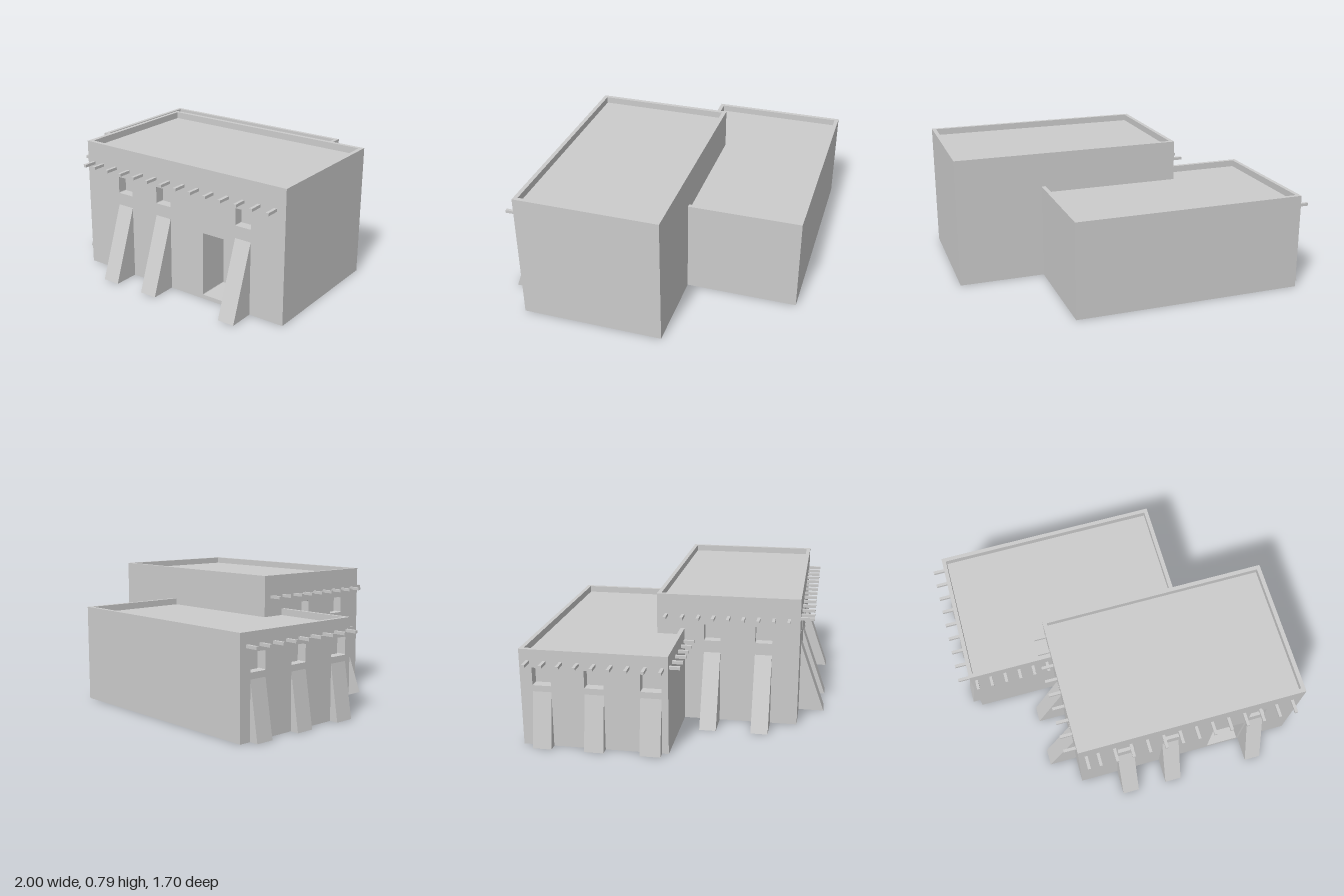
import * as THREE from 'three';

const material = new THREE.MeshStandardMaterial({ color: 0xcccccc, flatShading: true, side: THREE.DoubleSide });
const PARAPET_DEPTH = 0.04, PARAPET_WIDTH = 0.025;

function add(parent, name, geometry, x = 0, y = 0, z = 0) {
  const mesh = new THREE.Mesh(geometry, material);
  mesh.name = name;
  mesh.position.set(x, y, z);
  parent.add(mesh);
}

function rect(Type, u0, u1, v0, v1) {
  return new Type([[u0, v0], [u1, v0], [u1, v1], [u0, v1]].map(([u, v]) => new THREE.Vector2(u, v)));
}

// Opening outline with slightly softened corners
function openingPath({ u0, u1, v0, v1 }, r = 0.005) {
  const p = new THREE.Path();
  p.moveTo(u0 + r, v0);
  p.lineTo(u1 - r, v0).quadraticCurveTo(u1, v0, u1, v0 + r);
  p.lineTo(u1, v1 - r).quadraticCurveTo(u1, v1, u1 - r, v1);
  p.lineTo(u0 + r, v1).quadraticCurveTo(u0, v1, u0, v1 - r);
  p.lineTo(u0, v0 + r).quadraticCurveTo(u0, v0, u0 + r, v0);
  return p;
}

// Wall facing local +z, with recessed openings, roof beams and buttresses
function buildWall(name, u0, u1, height, details = {}) {
  const { openings = [], beams = [], beamY = 0, beamLength = 0.075, buttresses = [], buttress } = details;
  const wall = new THREE.Group();
  wall.name = name;

  const face = rect(THREE.Shape, u0, u1, 0, height);
  face.holes = openings.map(o => openingPath(o));
  add(wall, 'wallFace', new THREE.ShapeGeometry(face, 3));

  for (const o of openings) {
    const w = o.u1 - o.u0, h = o.v1 - o.v0;
    const frame = rect(THREE.Shape, o.u0 - 0.01, o.u1 + 0.01, o.v0 - 0.01, o.v1 + 0.01);
    frame.holes = [openingPath(o)];
    add(wall, o.name + 'Reveal',
      new THREE.ExtrudeGeometry(frame, { depth: o.depth - 0.001, bevelEnabled: false, curveSegments: 3 }), 0, 0, -o.depth);
    add(wall, o.name + 'Back', new THREE.PlaneGeometry(w + 0.02, h + 0.02),
      (o.u0 + o.u1) / 2, (o.v0 + o.v1) / 2, -o.depth);
  }

  for (const u of beams) {
    add(wall, 'roofBeam', new THREE.BoxGeometry(0.018, 0.017, beamLength + 0.02), u, beamY, beamLength / 2 - 0.01);
  }

  for (const [b0, b1] of buttresses) {
    // Triangular profile (out, up) swept along the wall
    const profile = new THREE.Shape();
    profile.moveTo(0, 0).lineTo(buttress.out, 0).lineTo(0, buttress.height);
    const geometry = new THREE.ExtrudeGeometry(profile, { depth: b1 - b0, bevelEnabled: false });
    geometry.rotateY(-Math.PI / 2);
    add(wall, 'buttress', geometry, b1, 0, 0);
  }
  return wall;
}

// Flat-roofed block: four walls, sunken roof, parapet and base
function buildBlock(name, { x0, x1, z0, z1, height }, front, side) {
  const block = new THREE.Group();
  block.name = name;
  const h = height - PARAPET_DEPTH, t = PARAPET_WIDTH;
  const walls = [
    [buildWall('frontWall', x0, x1, h, front), 0, z1, 0],
    [buildWall('rightWall', z0, z1, h, side), x0, 0, -Math.PI / 2],
    [buildWall('backWall', -x1, -x0, h), 0, z0, Math.PI],
    [buildWall('leftWall', -z1, -z0, h), x1, 0, Math.PI / 2],
  ];
  for (const [wall, x, z, angle] of walls) {
    wall.position.set(x, 0, z);
    wall.rotation.y = angle;
    block.add(wall);
  }

  const ring = rect(THREE.Shape, x0, x1, -z1, -z0);
  ring.holes = [rect(THREE.Path, x0 + t, x1 - t, -z1 + t, -z0 - t)];
  const parapet = new THREE.ExtrudeGeometry(ring, { depth: PARAPET_DEPTH, bevelEnabled: false });
  add(block, 'parapet', parapet.rotateX(-Math.PI / 2), 0, h, 0);

  const cx = (x0 + x1) / 2, cz = (z0 + z1) / 2;
  const slab = () => new THREE.PlaneGeometry(x1 - x0, z1 - z0);
  add(block, 'roof', slab().rotateX(-Math.PI / 2), cx, h, cz);
  add(block, 'base', slab().rotateX(Math.PI / 2), cx, 0, cz);
  return block;
}

const spread = (first, last, count) =>
  Array.from({ length: count }, (_, i) => first + (last - first) * i / (count - 1));
const windows = (spans, v0, v1) =>
  spans.map(([u0, u1]) => ({ name: 'window', u0, u1, v0, v1, depth: 0.06 }));

export function createModel() {
  const model = new THREE.Group();
  model.name = 'adobeHouse';

  // Tall front block
  const frontBays = [[-0.16, -0.055], [0.128, 0.233], [0.682, 0.784]];
  const sideBays = [[0.12, 0.22], [0.428, 0.53]];
  const door = { name: 'door', u0: 0.463, u1: 0.67, v0: 0.024, v1: 0.407, depth: 0.2 };
  const tallButtress = { out: 0.156, height: 0.435 };
  model.add(buildBlock('tallBlock', { x0: -0.401, x1: 0.998, z0: -0.165, z1: 0.692, height: 0.788 }, {
    openings: [...windows(frontBays, 0.508, 0.609), door],
    beams: [-0.355, ...spread(-0.283, 0.934, 13)], beamY: 0.659, beamLength: 0.08,
    buttresses: frontBays, buttress: tallButtress,
  }, {
    openings: windows(sideBays, 0.508, 0.609),
    beams: [-0.108, -0.007, ...spread(0.09, 0.627, 7)], beamY: 0.659,
    buttresses: sideBays, buttress: { out: 0.175, height: 0.435 },
  }));

  // Low rear block
  const lowBays = [[-0.777, -0.668], [-0.475, -0.363], [-0.155, -0.035]];
  model.add(buildBlock('lowBlock', { x0: -0.924, x1: 0.473, z0: -0.848, z1: 0.003, height: 0.58 }, {
    beams: spread(-0.888, -0.433, 6), beamY: 0.506, beamLength: 0.062,
  }, {
    openings: windows(lowBays, 0.366, 0.472),
    beams: spread(-0.798, -0.028, 9), beamY: 0.506,
    buttresses: lowBays, buttress: { out: 0.054, height: 0.33 },
  }));

  return model;
}
